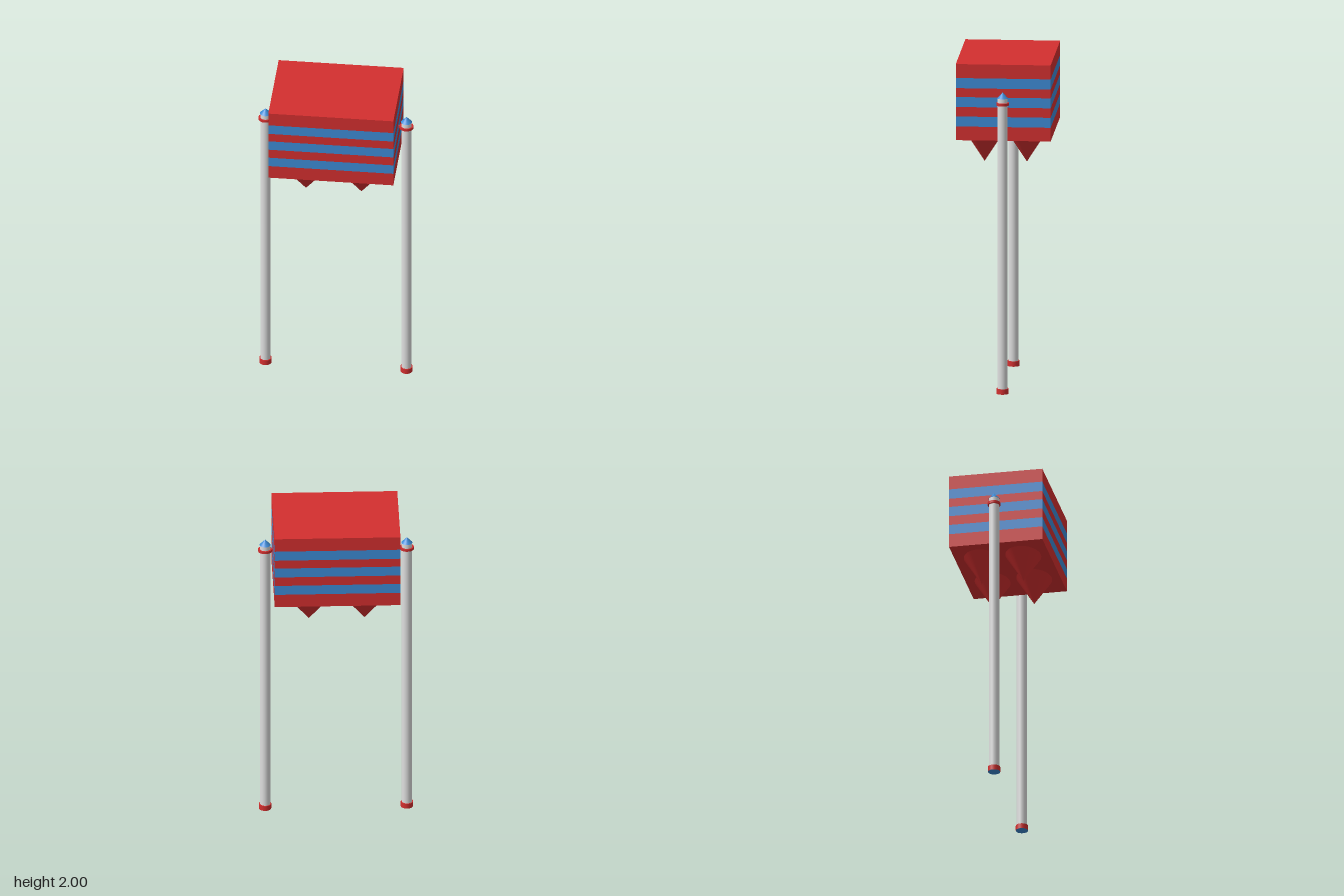
import * as THREE from 'three';

export function createModel() {
  const model = new THREE.Group();
  const paint = (name, color) => {
    const m = new THREE.MeshStandardMaterial({ color });
    m.name = name;
    return m;
  };
  const red = paint('red', 0xd32f2f);
  const blue = paint('blue', 0x3d8bd6);
  const grey = paint('light grey', 0xdedede);

  const add = (parent, name, geometry, material, x, y, z) => {
    const mesh = new THREE.Mesh(geometry, material);
    mesh.name = name;
    mesh.position.set(x, y, z);
    parent.add(mesh);
    return mesh;
  };

  // Striped box: alternating layers from bottom to top
  const box = new THREE.Group();
  box.name = 'stripedBox';
  model.add(box);
  const levels = [1.535, 1.619, 1.68, 1.738, 1.799, 1.853, 1.915, 2];
  for (let i = 0; i < levels.length - 1; i++) {
    const h = levels[i + 1] - levels[i];
    add(box, i % 2 ? 'blueStripe' : 'redStripe', new THREE.BoxGeometry(0.754, h, 0.57),
      i % 2 ? blue : red, 0, levels[i] + h / 2, 0);
  }

  // Four oval cones hanging point-down under the box
  for (const x of [-0.167, 0.167]) {
    for (const z of [-0.127, 0.127]) {
      const cone = add(model, 'hangingCone', new THREE.ConeGeometry(1, 0.167, 40), red, x, 1.4525, z);
      cone.rotation.x = Math.PI;
      cone.scale.set(0.143, 1, 0.107);
    }
  }

  // Pole on each side, with foot, clamp ring and pointed cap
  for (const side of [-1, 1]) {
    const pole = new THREE.Group();
    pole.name = side > 0 ? 'leftPole' : 'rightPole';
    pole.position.x = side * 0.425;
    model.add(pole);
    add(pole, 'shaft', new THREE.CylinderGeometry(0.031, 0.031, 1.777, 32), grey, 0, 0.9185, 0);
    add(pole, 'foot', new THREE.CylinderGeometry(0.037, 0.037, 0.032, 32), [red, red, blue], 0, 0.016, 0);
    const ring = add(pole, 'clampRing', new THREE.CylinderGeometry(1, 1, 0.016, 32), red, 0, 1.77, 0);
    ring.scale.set(0.042, 1, 0.038);
    add(pole, 'clampLug', new THREE.BoxGeometry(0.012, 0.014, 0.012), red, -side * 0.043, 1.77, 0);
    add(pole, 'cap', new THREE.ConeGeometry(0.033, 0.036, 32), blue, 0, 1.823, 0);
  }
  return model;
}
